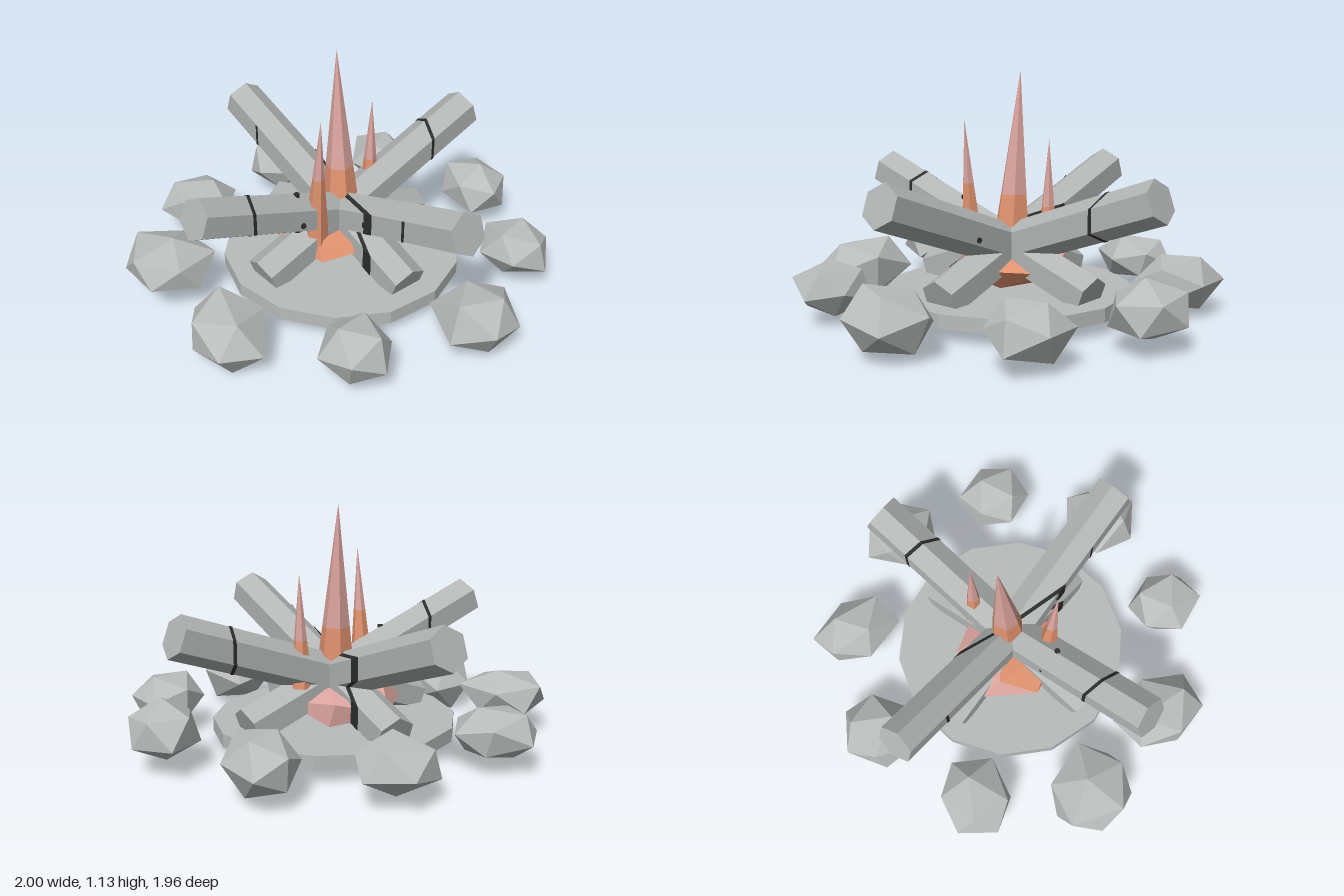
import * as THREE from 'three';

const mat = (name, color, side = THREE.FrontSide) => {
  const m = new THREE.MeshStandardMaterial({ color, flatShading: true, side });
  m.name = name;
  return m;
};

export function createModel() {
  const model = new THREE.Group();
  model.name = 'campfire';
  const stoneGrey = mat('stone grey', 0xb9bcbb);
  const woodGrey = mat('wood grey', 0xb2b5b4);
  const char = mat('char black', 0x2b2d2c, THREE.DoubleSide);
  const orange = mat('flame orange', 0xe0926f);
  const pink = mat('flame pink', 0xdca59f);
  const CX = 0.03; // fire axis

  const add = (name, geometry, material, parent = model) => {
    const mesh = new THREE.Mesh(geometry, material);
    mesh.name = name;
    parent.add(mesh);
    return mesh;
  };

  // Ash bed
  add('ashBed', new THREE.CylinderGeometry(0.575, 0.575, 0.065, 14), stoneGrey).position.set(CX, 0.092, 0);

  // Logs: four tilted hexagonal beams crossing over the middle
  const R = 0.1, TILT = 20 * Math.PI / 180, TURN = 17.2 * Math.PI / 180;
  const OUT = 0.81 / Math.cos(TILT), IN = 0.47 / Math.cos(TILT);
  const logs = ['right', 'back', 'left', 'front'].map((name, i) => {
    const a = TURN + i * Math.PI / 2;
    const side = new THREE.Vector3(Math.sin(a), 0, Math.cos(a));
    const dir = new THREE.Vector3(Math.cos(a) * Math.cos(TILT), Math.sin(TILT), -Math.sin(a) * Math.cos(TILT));
    const up = new THREE.Vector3().crossVectors(side, dir).normalize();
    const centre = new THREE.Vector3(CX, 0.315, 0);
    const geo = new THREE.CylinderGeometry(R, R, OUT + IN, 6);
    geo.rotateY(0).translate(0, (OUT - IN) / 2, 0);
    // cylinder axis -> dir, corner (+z) -> up
    const xAxis = new THREE.Vector3().crossVectors(dir, up);
    geo.applyMatrix4(new THREE.Matrix4().makeBasis(xAxis, dir, up).setPosition(centre));
    add(name + 'Log', geo, woodGrey);
    return { dir, up, side, centre };
  });

  // Thin char band: the log's skin cut by an axis-aligned slab
  const band = (name, log, axis, at, faces = [0, 1, 2, 3, 4, 5]) => {
    const corner = (k, plane) => {
      const t = k * Math.PI / 3;
      const p = log.centre.clone()
        .addScaledVector(log.up, Math.cos(t) * (R + 0.003))
        .addScaledVector(log.side, Math.sin(t) * (R + 0.003));
      return p.addScaledVector(log.dir, (plane - p[axis]) / log.dir[axis]).toArray();
    };
    const pos = [];
    for (const k of faces) {
      const [a, b] = [corner(k, at - 0.008), corner(k + 1, at - 0.008)];
      const [c, d] = [corner(k + 1, at + 0.008), corner(k, at + 0.008)];
      pos.push(...a, ...b, ...c, ...a, ...c, ...d);
    }
    const g = new THREE.BufferGeometry();
    g.setAttribute('position', new THREE.Float32BufferAttribute(pos, 3));
    g.computeVertexNormals();
    add(name, g, char);
  };
  const [right, back, left, front] = logs;
  band('rightLogBand', right, 'x', 0.55);
  band('leftLogBand', left, 'x', -0.48);
  band('frontLogBand', front, 'z', 0.52, [1]);
  band('backLogBand', back, 'z', -0.51, [4]);
  band('frontLogSeam', front, 'x', CX);
  band('backLogSeam', back, 'x', CX);

  // Knots: small dark plugs just proud of the log skin
  const knot = (name, x, y, z, rx, rz, length) => {
    const m = add(name, new THREE.CylinderGeometry(0.014, 0.014, length, 8), char);
    m.position.set(x, y, z);
    m.rotation.set(rx, 0, rz);
  };
  knot('leftLogSideKnot', -0.23, 0.4, 0.085, Math.PI / 2, 0, 0.188);
  knot('leftLogTopKnot', -0.23, 0.42, 0.09, 0, 0, 0.21);
  knot('frontLogKnot', 0.115, 0.4, 0.27, 0, Math.PI / 2, 0.188);

  // Flames: leaning six-sided spikes, orange low and pink high
  const flame = (name, base, tip, r, split) => {
    const g = new THREE.Group();
    g.name = name;
    model.add(g);
    const h = tip[1] - base[1], f = (split - base[1]) / h;
    const piece = (part, r0, r1, y0, y1, material) => {
      const geo = new THREE.CylinderGeometry(r1, r0, y1 - y0, 6, 1, y0 > 0);
      geo.translate(0, (y0 + y1) / 2, 0);
      const p = geo.attributes.position;
      for (let i = 0; i < p.count; i++) {
        const t = p.getY(i) / h;
        p.setX(i, p.getX(i) + (tip[0] - base[0]) * t);
        p.setZ(i, p.getZ(i) + (tip[2] - base[2]) * t);
      }
      geo.computeVertexNormals();
      add(part, geo, material, g).position.set(...base);
    };
    piece('flameBase', r, r * (1 - f), 0, h * f, orange);
    piece('flameTip', r * (1 - f), 0, h * f, h, pink);
  };
  flame('mainFlame', [CX, 0.22, -0.005], [CX, 1.13, -0.063], 0.105, 0.56);
  flame('leftFlame', [-0.14, 0.25, 0.095], [-0.13, 0.9, 0.145], 0.062, 0.6);
  flame('rightFlame', [0.215, 0.3, -0.09], [0.222, 0.825, -0.09], 0.053, 0.52);

  // Rough rock: seeded, jittered icosahedron fitted to a box
  const rock = (seed, min, max) => {
    const geo = new THREE.IcosahedronGeometry(1, 0);
    const p = geo.attributes.position, v = new THREE.Vector3();
    const turn = new THREE.Euler(seed * 1.3, seed * 2.1, seed * 0.7);
    const noise = (a, b, c) => {
      const s = Math.sin(a * 12.9 + b * 78.2 + c * 37.7 + seed * 4.1) * 437.58;
      return s - Math.floor(s);
    };
    for (let i = 0; i < p.count; i++) {
      v.fromBufferAttribute(p, i);
      const [a, b, c] = v.toArray().map(n => Math.round(n * 100) / 100);
      v.multiplyScalar(0.88 + 0.24 * noise(a, b, c)).applyEuler(turn);
      p.setXYZ(i, v.x, v.y, v.z);
    }
    geo.computeBoundingBox();
    const bb = geo.boundingBox, size = bb.getSize(new THREE.Vector3());
    geo.translate(-bb.min.x, -bb.min.y, -bb.min.z);
    geo.scale(...size.toArray().map((s, k) => (max[k] - min[k]) / s));
    geo.translate(...min);
    geo.computeVertexNormals();
    return geo;
  };

  // Ember chunk: orange, with pink faces at the back
  const ember = rock(3, [-0.28, 0.12, -0.3], [0.28, 0.31, 0.24]);
  const ep = ember.attributes.position;
  for (let i = 0; i < ep.count; i += 3) {
    const z = (ep.getZ(i) + ep.getZ(i + 1) + ep.getZ(i + 2)) / 3;
    ember.addGroup(i, 3, z < -0.1 ? 1 : 0);
  }
  add('emberChunk', ember, [orange, pink]);

  // Ring of stones: x range, z range, y range
  [
    [-0.16, 0.19, -0.98, -0.62, 0.05, 0.28],
    [0.36, 0.69, -0.83, -0.41, 0.04, 0.28],
    [-0.73, -0.33, -0.74, -0.41, 0.05, 0.28],
    [-1.0, -0.6, -0.3, 0.09, 0.06, 0.3],
    [0.7, 1.0, -0.36, 0.04, 0.05, 0.32],
    [-0.84, -0.51, 0.2, 0.64, 0.0, 0.27],
    [0.59, 0.94, 0.225, 0.56, 0.05, 0.28],
    [-0.4, -0.07, 0.615, 0.94, 0.05, 0.28],
    [0.17, 0.53, 0.59, 0.98, 0.04, 0.29],
  ].forEach(([x0, x1, z0, z1, y0, y1], i) =>
    add('ringStone' + (i + 1), rock(i + 5, [x0, y0, z0], [x1, y1, z1]), stoneGrey));

  return model;
}
